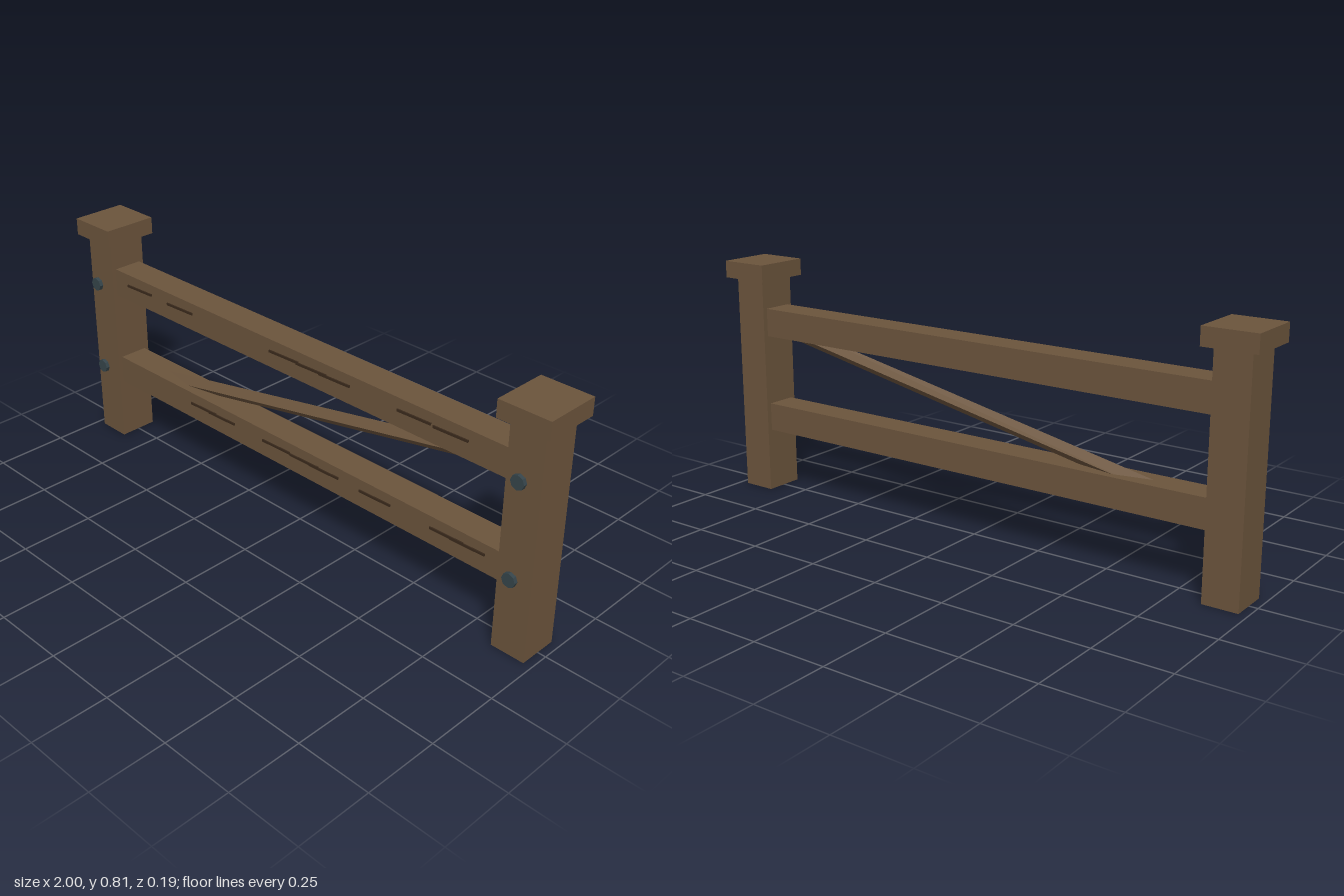
import * as THREE from 'three';

const mat = (name, color, flatShading = false) => {
  const m = new THREE.MeshStandardMaterial({ color, flatShading });
  m.name = name;
  return m;
};

export function createModel() {
  const group = new THREE.Group();
  group.name = 'fence';
  const wood = mat('wood', 0x6b543c);
  const grain = mat('darkGrain', 0x3a2a1c);
  const iron = mat('iron', 0x35444a, true);
  const brown = mat('braceWood', 0x6b543c, true);

  const add = (name, geometry, material, x, y, z) => {
    const mesh = new THREE.Mesh(geometry, material);
    mesh.name = name;
    mesh.position.set(x, y, z);
    group.add(mesh);
    return mesh;
  };

  // Posts with caps and two bolts each
  for (const [side, label] of [[1, 'left'], [-1, 'right']]) {
    const x = side * 0.913;
    add(`${label}Post`, new THREE.BoxGeometry(0.117, 0.757, 0.136), wood, x, 0.3785, 0);
    add(`${label}Cap`, new THREE.BoxGeometry(0.174, 0.058, 0.19), wood, x, 0.786, 0);
    for (const y of [0.275, 0.595]) {
      const bolt = add(`${label}Bolt`, new THREE.CylinderGeometry(0.0235, 0.0235, 0.013, 8), iron, x, y, 0.091);
      bolt.rotation.x = Math.PI / 2;
    }
  }

  // Rails with grain marks on the front
  const rails = [
    { name: 'upperRail', y: 0.607, markY: 0.617, marks: [-0.725, -0.515, -0.02, 0.1, 0.197, 0.512, 0.647] },
    { name: 'lowerRail', y: 0.267, markY: 0.278, marks: [-0.412, -0.32, -0.057, 0.07, 0.157, 0.373, 0.655, 0.732] },
  ];
  for (const { name, y, markY, marks } of rails) {
    add(name, new THREE.BoxGeometry(1.75, 0.097, 0.102), wood, 0, y, 0);
    for (const x of marks) {
      const mark = add(`${name}Grain`, new THREE.BoxGeometry(0.127, 0.008, 0.009), grain, x, markY, 0.051);
      mark.rotation.z = 0.03;
    }
  }

  // Diagonal brace: a square bar set on edge
  const brace = add('brace', new THREE.CylinderGeometry(0.025, 0.025, 1.6, 4), brown, 0.0925, 0.438, 0);
  brace.rotation.z = Math.atan(0.199) - Math.PI / 2;

  return group;
}
